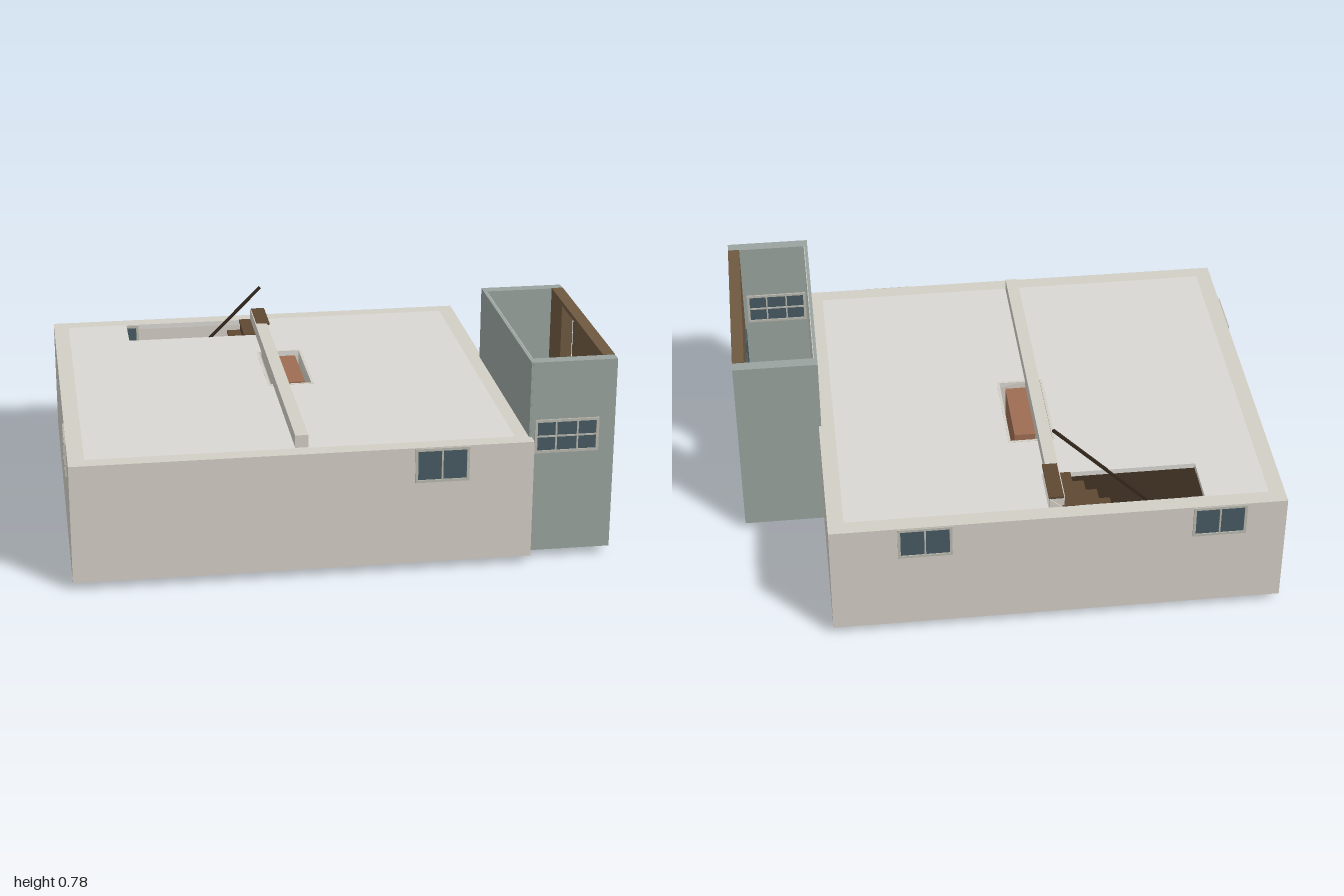
import * as THREE from 'three';

const mat = (color, side = THREE.FrontSide) => new THREE.MeshStandardMaterial({ color, side, flatShading: true });
const M = {
  wall: mat(0xd2cec5), roof: mat(0xd9d7d3), tower: mat(0x99a39e), towerFloor: mat(0x7f857e),
  lining: mat(0xc9cac2), clad: mat(0x6e5940), floor: mat(0x372a1e), tile: mat(0x5c5c5c),
  tread: mat(0x5e4832), dark: mat(0x33271c), brick: mat(0x9c6c52), glass: mat(0x465a61), frame: mat(0xb9b8ae),
};

export function createModel() {
  const root = new THREE.Group();

  const add = (parent, name, geo, m) => {
    const mesh = new THREE.Mesh(geo, m);
    mesh.name = name;
    parent.add(mesh);
    return mesh;
  };
  // Box given by its limits on each axis
  const box = (parent, name, m, x0, x1, y0, y1, z0, z1) => {
    const mesh = add(parent, name, new THREE.BoxGeometry(x1 - x0, y1 - y0, z1 - z0), m);
    mesh.position.set((x0 + x1) / 2, (y0 + y1) / 2, (z0 + z1) / 2);
    return mesh;
  };
  const group = (name) => {
    const g = new THREE.Group();
    g.name = name;
    root.add(g);
    return g;
  };
  const rect = (C, a0, a1, b0, b1) =>
    new C([[a0, b0], [a1, b0], [a1, b1], [a0, b1]].map(([a, b]) => new THREE.Vector2(a, b)));
  const extrude = (shape, depth) => new THREE.ExtrudeGeometry(shape, { depth, bevelEnabled: false });
  // Horizontal slab with rectangular holes, limits as [x0, x1, z0, z1]
  const slab = (parent, name, m, r, y0, y1, holes = []) => {
    const s = rect(THREE.Shape, r[0], r[1], -r[3], -r[2]);
    s.holes = holes.map((h) => rect(THREE.Path, h[0], h[1], -h[3], -h[2]));
    const mesh = add(parent, name, extrude(s, y1 - y0).rotateX(-Math.PI / 2), m);
    mesh.position.y = y0;
  };

  const BASE = 0.03, TOP = 0.485;
  const stairHole = [-0.7, -0.12, -0.719, -0.525];
  const courtHole = [-0.19, -0.03, -0.31, 0.06];

  // Main house shell
  const house = group('house');
  slab(house, 'outerWalls', M.wall, [-1, 0.69, -0.78, 0.78], BASE, TOP, [[-0.94, 0.63, -0.72, 0.72]]);
  slab(house, 'roof', M.roof, [-0.94, 0.63, -0.72, 0.72], TOP - 0.02, TOP, [stairHole, courtHole]);
  slab(house, 'floor', M.floor, [-0.94, 0.63, -0.72, 0.72], 0.034, 0.042, [courtHole]);
  slab(house, 'kitchenTiles', M.tile, [-0.12, 0.45, -0.7, -0.1], 0.032, 0.044, [[-0.121, -0.029, -0.311, -0.099]].map(() => [-0.1199, -0.03, -0.31, -0.1001]));
  slab(house, 'hallTiles', M.tile, [0.45, 0.63, -0.58, 0.08], 0.032, 0.044);

  // Inner partitions
  const partitions = [
    [-0.94, -0.82, -0.28, -0.26], [-0.84, -0.82, -0.26, -0.18], [-0.84, -0.82, -0.04, 0.04], [-0.94, -0.82, 0.04, 0.055],
    [0.44, 0.46, -0.72, -0.58], [0.56, 0.63, -0.595, -0.575], [0.44, 0.63, -0.255, -0.24], [0.44, 0.46, -0.24, -0.2],
    [0.44, 0.46, -0.15, -0.11], [0, 0.2, -0.12, -0.1], [0.32, 0.63, -0.12, -0.1], [0.275, 0.295, -0.1, 0.08],
    [-0.03, 0.1, 0.078, 0.094], [0.24, 0.63, 0.078, 0.094],
  ];
  for (const [x0, x1, z0, z1] of partitions) box(house, 'partition', M.wall, x0, x1, BASE, TOP - 0.01, z0, z1);

  // Central well with a brick chimney core
  slab(house, 'wellWalls', M.wall, [-0.2, -0.02, -0.32, 0.07], BASE, TOP + 0.001, [courtHole]);
  box(house, 'chimneyCore', M.brick, -0.13, -0.05, BASE, 0.48, -0.27, 0.03);
  box(house, 'roofBeam', M.wall, -0.18, -0.132, TOP - 0.02, 0.533, -0.715, 0.715);

  // Framed window, built facing +z through a wall of the given depth
  const makeWindow = (name, x, y, z, turn, w, h, depth, cols, rows) => {
    const g = group(name);
    const f = 0.01, d = depth / 2 + 0.006;
    box(g, 'glass', M.glass, -w / 2 + f, w / 2 - f, -h / 2 + f, h / 2 - f, -d + 0.004, d - 0.004);
    for (const s of [-1, 1]) {
      box(g, 'jamb', M.frame, s * (w / 2 - f / 2) - f / 2, s * (w / 2 - f / 2) + f / 2, -h / 2, h / 2, -d, d);
      box(g, 'rail', M.frame, -w / 2 + f, w / 2 - f, s * (h / 2 - f / 2) - f / 2, s * (h / 2 - f / 2) + f / 2, -d, d);
    }
    for (let i = 1; i < cols; i++) {
      const c = -w / 2 + (w * i) / cols;
      box(g, 'mullion', M.frame, c - 0.003, c + 0.003, -h / 2 + f, h / 2 - f, -d, d);
    }
    for (let i = 1; i < rows; i++) {
      const c = -h / 2 + (h * i) / rows;
      box(g, 'glazingBar', M.frame, -w / 2 + f, w / 2 - f, c - 0.003, c + 0.003, -d, d);
    }
    g.position.set(x, y, z);
    g.rotation.y = turn;
  };
  makeWindow('frontWindow', 0.35, 0.416, 0.75, 0, 0.2, 0.132, 0.06, 2, 1);
  for (const x of [0.34, -0.75]) makeWindow('backWindow', x, 0.416, -0.75, 0, 0.2, 0.132, 0.06, 2, 1);
  makeWindow('sideWindow', -0.97, 0.416, 0.45, Math.PI / 2, 0.2, 0.132, 0.06, 2, 1);

  // Entrance tower, open at the top
  const tower = group('entranceTower');
  const H = 0.775;
  box(tower, 'frontTowerWall', M.tower, 0.685, 1, BASE, H, 0.69, 0.735);
  box(tower, 'backTowerWall', M.tower, 0.685, 1, BASE, H, -0.135, -0.09);
  box(tower, 'innerTowerWall', M.tower, 0.68, 0.692, BASE, H, -0.134, 0.734);
  box(tower, 'innerLining', M.lining, 0.692, 0.695, BASE, H - 0.002, -0.09, 0.69);
  const panel = rect(THREE.Shape, -0.09, 0.69, BASE, H + 0.002);
  panel.holes = [rect(THREE.Path, 0.083, 0.258, 0.35, 0.76)];
  add(tower, 'cladWall', extrude(panel, 0.045).rotateY(-Math.PI / 2), M.clad).position.x = 1;
  for (const [z0, z1] of [[-0.09, 0.035], [0.305, 0.69]]) {
    const f = add(tower, 'towerFloor', new THREE.PlaneGeometry(0.26, z1 - z0).rotateX(-Math.PI / 2), M.towerFloor);
    f.position.set(0.825, 0.045, (z0 + z1) / 2);
  }
  makeWindow('towerWindow', 0.82, 0.487, 0.7125, 0, 0.24, 0.13, 0.045, 3, 2);
  // Narrow glazed panels on the inside of the clad wall
  for (const [z0, z1] of [[-0.085, 0.02], [0.325, 0.43], [0.5, 0.6]])
    box(tower, 'innerPane', M.glass, 0.948, 0.956, 0.3, 0.45, z0, z1);

  // Straight stair rising toward +x: solid steps between slanted side boards
  const makeStair = (name, x0, x1, z0, z1, rise, steps, boardMat, stepMat) => {
    const g = group(name);
    const run = (x1 - x0) / steps, end = BASE + rise * steps;
    for (let i = 0; i < steps; i++) {
      const x = x0 + i * run, y = BASE + (i + 1) * rise;
      box(g, 'tread', stepMat, x, x + run + 0.004, y - 0.009, y, z0, z1);
      box(g, 'riser', stepMat, x + 0.004, x + 0.009, y - rise, y - 0.009, z0 + 0.006, z1 - 0.006);
    }
    const side = new THREE.Shape([[x0 - 0.01, BASE], [x0 + 0.02, 0], [x1, end - 0.07], [x1, end - 0.012]]
      .map(([x, y]) => new THREE.Vector2(x, y)));
    for (const z of [z0, z1 - 0.007]) add(g, 'sideBoard', extrude(side, 0.007), boardMat).position.z = z;
    return g;
  };
  const stair = makeStair('mainStair', -0.69, -0.125, -0.72, -0.525, 0.0458, 11, M.wall, M.tread);
  makeStair('entranceStair', 0.7, 0.95, 0.035, 0.31, 0.03, 10, M.clad, M.clad);
  box(tower, 'stairLanding', M.dark, 0.7, 0.95, 0.016, 0.032, 0.042, 0.303);

  // Sloping handrail beside the main stair
  const a = new THREE.Vector3(-0.65, 0.2, -0.526), b = new THREE.Vector3(-0.16, 0.69, -0.526);
  const rail = add(stair, 'handrail', new THREE.BoxGeometry(a.distanceTo(b), 0.011, 0.01), M.dark);
  rail.position.copy(a).lerp(b, 0.5);
  rail.rotation.z = Math.atan2(b.y - a.y, b.x - a.x);

  return root;
}
